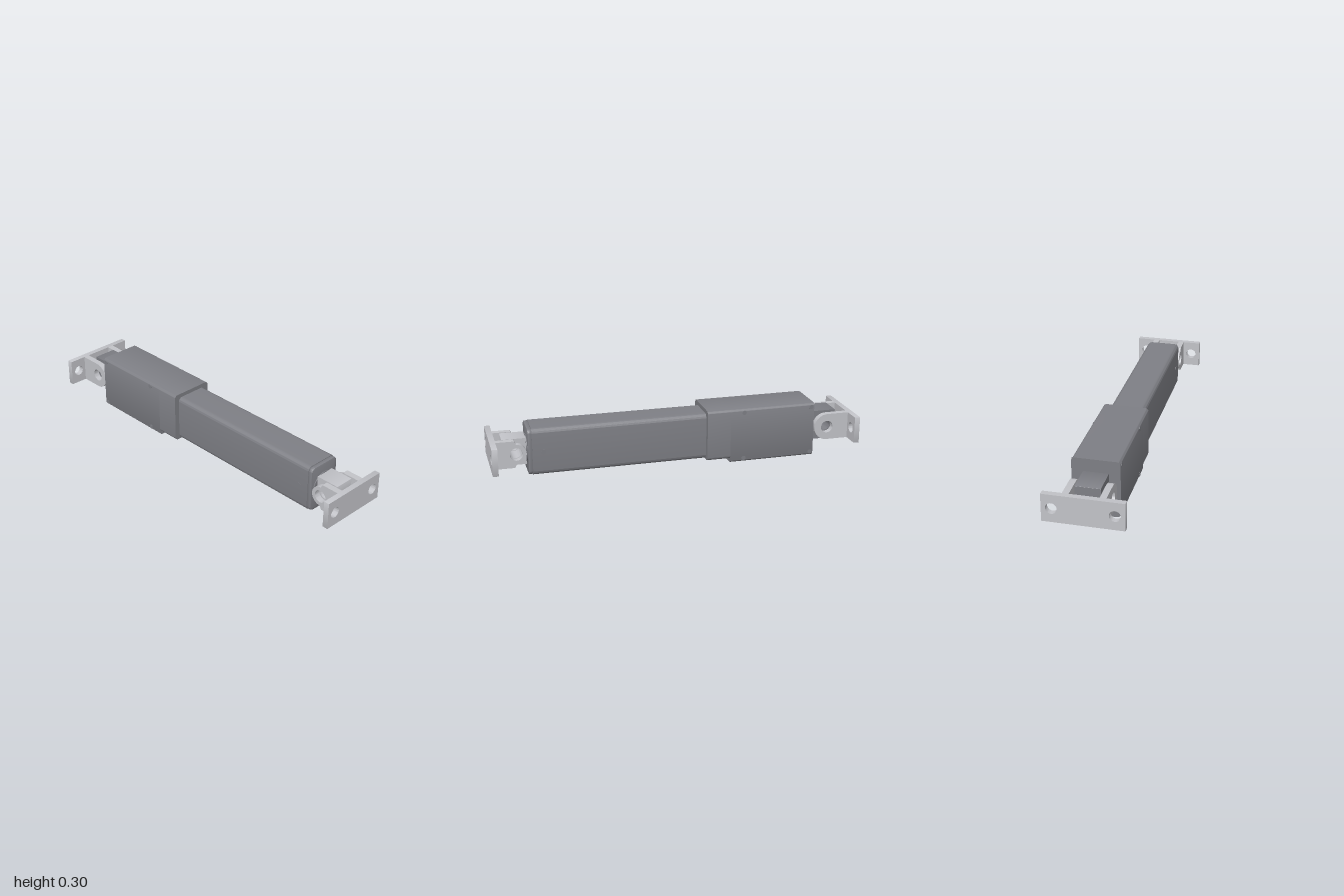
import * as THREE from 'three';
import { toCreasedNormals } from 'three/addons/utils/BufferGeometryUtils.js';

const AXIS_Y = 0.153; // height of the actuator axis

export function createModel() {
  const root = new THREE.Group();
  root.name = 'linearActuator';
  const dark = new THREE.MeshStandardMaterial({ color: 0x7e7f85 });
  dark.name = 'dark grey casing';
  const light = new THREE.MeshStandardMaterial({ color: 0xc2c3c8 });
  light.name = 'light grey bracket';

  const add = (name, geometry, material, parent = root) => {
    const mesh = new THREE.Mesh(geometry, material);
    mesh.name = name;
    parent.add(mesh);
    return mesh;
  };

  const roundedRect = (x0, x1, y0, y1, r) => {
    const s = new THREE.Shape();
    s.moveTo(x0 + r, y0);
    s.lineTo(x1 - r, y0);
    s.absarc(x1 - r, y0 + r, r, -Math.PI / 2, 0);
    s.lineTo(x1, y1 - r);
    s.absarc(x1 - r, y1 - r, r, 0, Math.PI / 2);
    s.lineTo(x0 + r, y1);
    s.absarc(x0 + r, y1 - r, r, Math.PI / 2, Math.PI);
    s.lineTo(x0, y0 + r);
    s.absarc(x0 + r, y0 + r, r, Math.PI, Math.PI * 1.5);
    return s;
  };

  const hole = (shape, x, y, r) => {
    const p = new THREE.Path();
    p.absarc(x, y, r, 0, Math.PI * 2, true);
    shape.holes.push(p);
  };

  const extrude = (shape, depth) => toCreasedNormals(new THREE.ExtrudeGeometry(
    shape, { depth, bevelEnabled: false, curveSegments: 16 }), 0.6);

  // Section in the z/y plane pushed along x
  const prism = (shape, x0, x1) => extrude(shape, x1 - x0).rotateY(Math.PI / 2).translate(x0, 0, 0);
  // Outline in the x/y plane pushed along z
  const slab = (shape, z0, z1) => extrude(shape, z1 - z0).translate(0, 0, z0);

  // Motor housing: deep rear part and shallower front lip
  add('motorHousing', prism(roundedRect(-0.122, 0.122, 0, 0.303, 0.02), -0.762, -0.285), dark);
  add('housingLip', prism(roundedRect(-0.122, 0.122, 0.023, 0.303, 0.02), -0.285, -0.155), dark);

  // Outer tube and its bevelled end cap
  add('outerTube', prism(roundedRect(-0.094, 0.094, 0.027, 0.281, 0.026), -0.155, 0.783), dark);
  const cap = new THREE.ExtrudeGeometry(roundedRect(-0.086, 0.086, 0.035, 0.273, 0.02), {
    depth: 0.012, bevelThickness: 0.006, bevelSize: 0.006, bevelSegments: 2, curveSegments: 10,
  });
  add('endCap', toCreasedNormals(cap.rotateY(Math.PI / 2).translate(0.787, 0, 0), 0.6), dark);
  const rod = new THREE.CylinderGeometry(0.077, 0.077, 0.02, 40).rotateZ(Math.PI / 2);
  add('pistonRod', rod.translate(0.8, AXIS_Y, 0), dark);

  // Small screws on both flanks
  const screw = (x, y, z, r) => {
    const g = new THREE.CylinderGeometry(r, r, 0.004, 16).rotateX(Math.PI / 2);
    add('screw', g.translate(x, y, z), dark);
  };
  for (const side of [-1, 1]) {
    for (const x of [-0.745, -0.36]) {
      for (const y of [0.022, 0.281]) screw(x, y, side * 0.1215, 0.012);
    }
    screw(0.725, AXIS_Y, side * 0.0935, 0.014);
  }

  // Rear clevis block with cross hole
  const rear = roundedRect(-0.91, -0.76, 0.072, 0.235, 0.001);
  hole(rear, -0.848, AXIS_Y, 0.034);
  add('rearClevisBlock', slab(rear, -0.064, 0.064), dark);

  // Front rod eye with cross hole
  const eye = roundedRect(0.808, 0.935, 0.081, 0.225, 0.001);
  hole(eye, 0.865, AXIS_Y, 0.034);
  add('rodEye', slab(eye, -0.053, 0.053), light);

  // Mounting brackets: drilled plate with two ears
  const bracket = (name, x0, x1, halfWidth, holeZ, ear, zIn, zOut) => {
    const group = new THREE.Group();
    group.name = name;
    root.add(group);
    const plate = roundedRect(-halfWidth, halfWidth, 0.08, 0.226, 0.0005);
    for (const side of [-1, 1]) hole(plate, side * holeZ, AXIS_Y, 0.0285);
    add('mountingPlate', prism(plate, x0, x1), light, group);
    add('ear', slab(ear, zIn, zOut), light, group);
    add('ear', slab(ear, -zOut, -zIn), light, group);
  };

  // Rear ear: full round end
  const rearEar = new THREE.Shape();
  rearEar.moveTo(-0.97, 0.08);
  rearEar.lineTo(-0.848, 0.08);
  rearEar.absarc(-0.848, AXIS_Y, 0.073, -Math.PI / 2, Math.PI / 2);
  rearEar.lineTo(-0.97, 0.226);
  hole(rearEar, -0.848, AXIS_Y, 0.034);
  bracket('rearBracket', -1, -0.97, 0.203, 0.153, rearEar, 0.074, 0.107);

  // Front ear: smaller round end widening towards the plate
  const frontEar = new THREE.Shape();
  frontEar.moveTo(0.97, 0.226);
  frontEar.lineTo(0.875, 0.226);
  frontEar.lineTo(0.865, 0.206);
  frontEar.absarc(0.865, AXIS_Y, 0.053, Math.PI / 2, Math.PI * 1.5);
  frontEar.lineTo(0.875, 0.08);
  frontEar.lineTo(0.97, 0.08);
  hole(frontEar, 0.865, AXIS_Y, 0.034);
  bracket('frontBracket', 0.97, 1, 0.19, 0.14, frontEar, 0.06, 0.093);

  return root;
}
